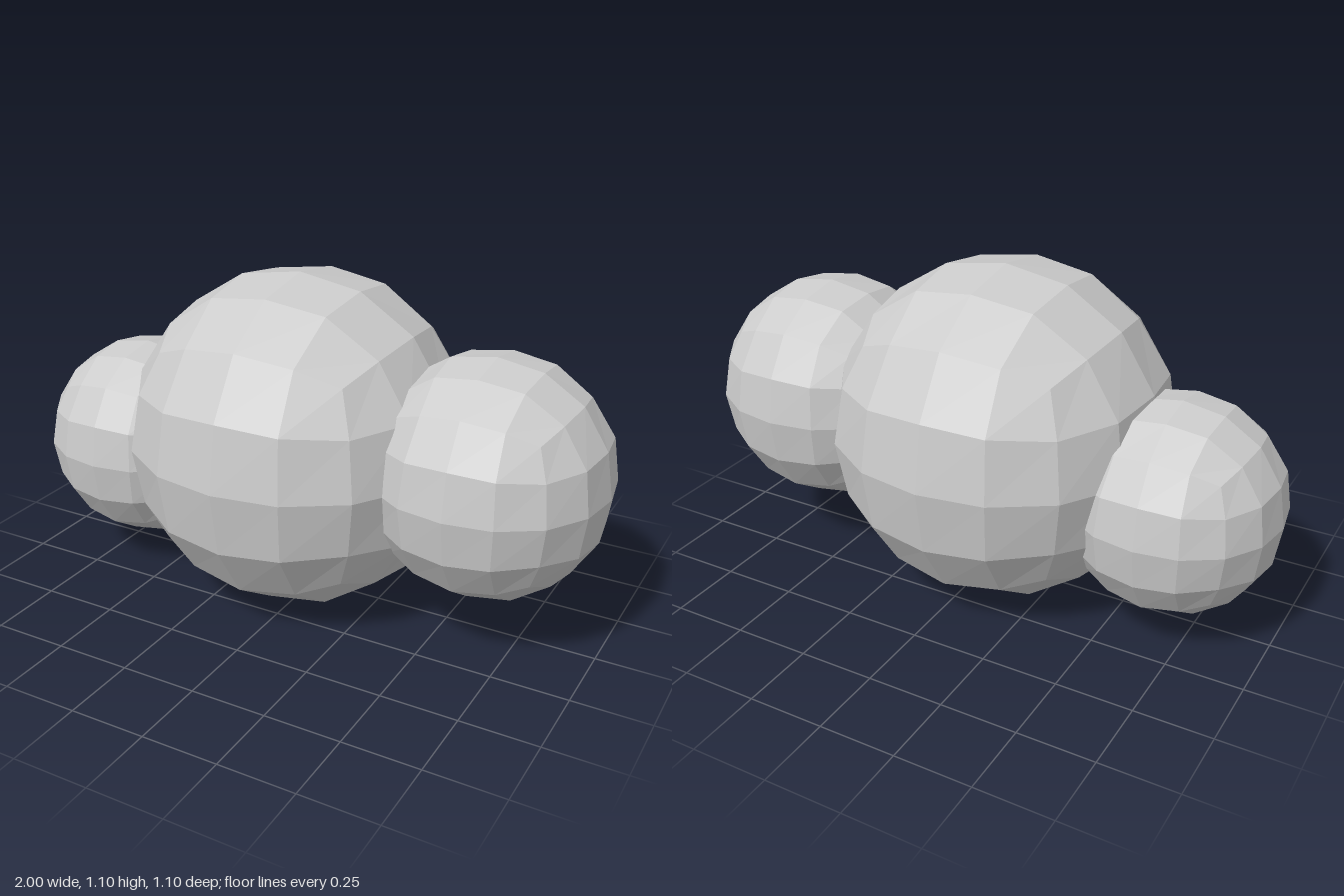
import * as THREE from 'three';

// Coordinates of a rounded cube lattice point: the key is its sorted grid steps (0..2),
// the value is the position for a step of 2 and for a step of 1.
const ROUNDING = {
  '200': [1, 0],
  '210': [0.937, 0.39],
  '220': [0.724, 0],
  '211': [0.886, 0.367],
  '221': [0.68, 0.344],
  '222': [0.588, 0],
};

// Low-poly ball made from a 4 x 4 x 4 cube grid whose points are pulled onto a round form
function quadBall(radius) {
  const geometry = new THREE.BoxGeometry(4, 4, 4, 4, 4, 4);
  const pos = geometry.attributes.position;
  for (let i = 0; i < pos.count; i++) {
    const p = [pos.getX(i), pos.getY(i), pos.getZ(i)].map(Math.round);
    const key = p.map(Math.abs).sort((a, b) => b - a).join('');
    const [two, one] = ROUNDING[key];
    const q = p.map((v) => Math.sign(v) * radius * [0, one, two][Math.abs(v)]);
    pos.setXYZ(i, q[0], q[1], q[2]);
  }
  geometry.computeVertexNormals();
  return geometry;
}

export function createModel() {
  const group = new THREE.Group();
  group.name = 'ballCluster';
  const material = new THREE.MeshStandardMaterial({ color: 0xcccccc, flatShading: true });

  // Three overlapping balls in a row: name, radius, x, y
  const balls = [
    ['centreBall', 0.549, -0.05, 0.55],
    ['leftBall', 0.38, 0.62, 0.55],
    ['rightBall', 0.343, -0.657, 0.427],
  ];
  for (const [name, radius, x, y] of balls) {
    const ball = new THREE.Mesh(quadBall(radius), material);
    ball.name = name;
    ball.position.set(x, y, 0);
    group.add(ball);
  }
  return group;
}
